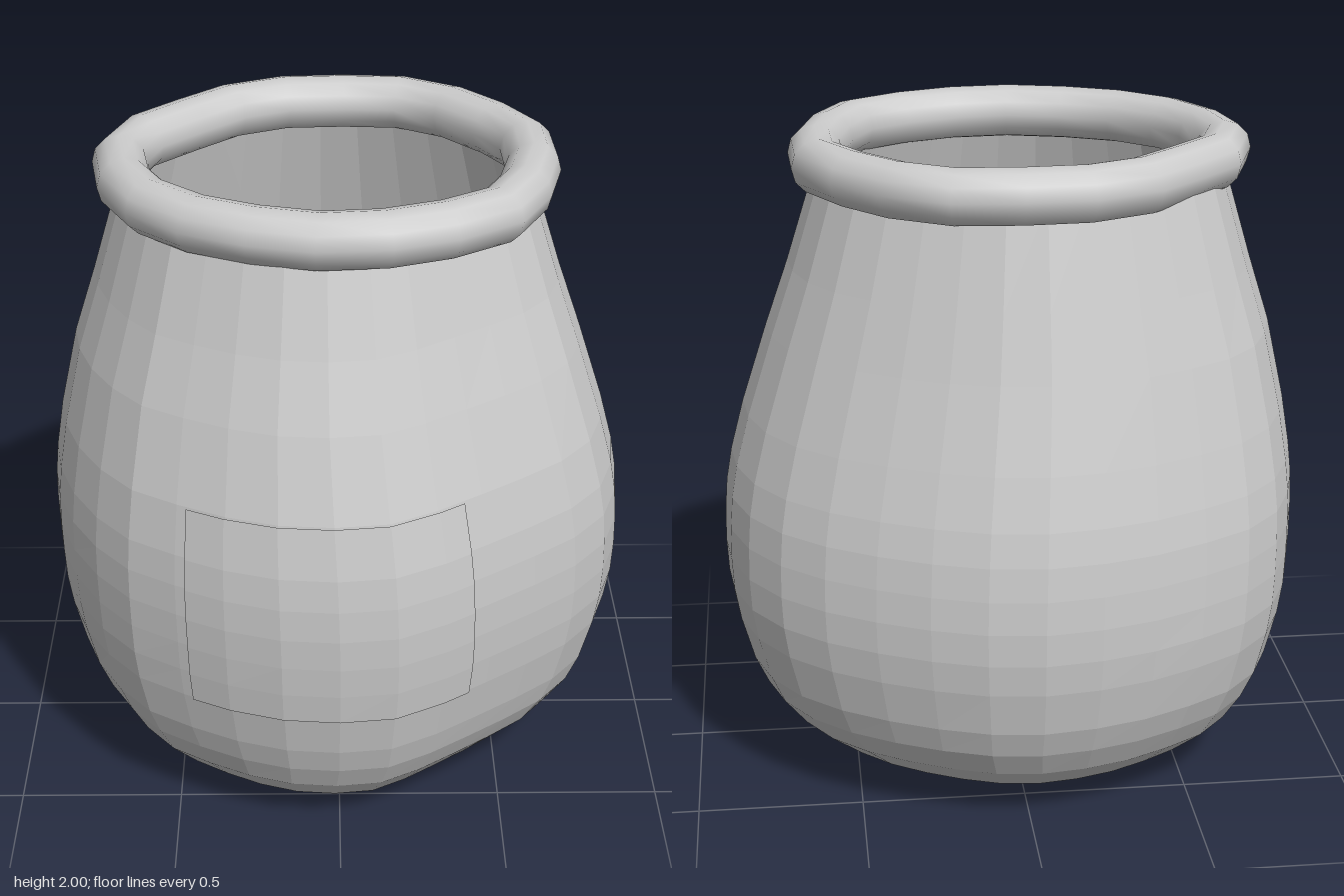
import * as THREE from 'three';

const V = (x, z) => new THREE.Vector3(x, 0, z);

// Uneven, hand-thrown outline of the widest ring, starting at the front and turning towards +x
const outline = new THREE.CatmullRomCurve3([
  V(0, .83), V(.2, .8), V(.37, .69), V(.53, .575), V(.67, .465), V(.78, .36), V(.85, .215), V(.89, -.01),
  V(.87, -.21), V(.79, -.41), V(.65, -.57), V(.41, -.72), V(.15, -.82), V(-.02, -.84), V(-.3, -.79),
  V(-.54, -.68), V(-.71, -.56), V(-.82, -.36), V(-.89, -.05), V(-.855, .19), V(-.76, .41), V(-.615, .6),
  V(-.45, .7), V(-.23, .8),
], true);
const SIDES = 32;
const ringPoints = outline.getSpacedPoints(SIDES).slice(0, SIDES);

// Height, then the limits in x and z of each ring of the body
const rows = [
  [0, -.43, .40, -.42, .36], [.09, -.64, .61, -.60, .62], [.18, -.74, .72, -.70, .70],
  [.27, -.795, .79, -.755, .745], [.36, -.835, .83, -.79, .775], [.5, -.87, .868, -.82, .806],
  [.6, -.885, .885, -.832, .82], [.7, -.89, .89, -.835, .83], [.8, -.892, .888, -.83, .835],
  [.9, -.89, .88, -.82, .833], [1, -.88, .862, -.802, .825], [1.155, -.855, .82, -.765, .797],
  [1.4, -.80, .74, -.70, .72], [1.6, -.735, .67, -.65, .65], [1.9, -.645, .575, -.575, .555],
];

// Point on the body: u counts sides (fractions allowed), grow pushes it outwards
function surfacePoint(u, [y, x0, x1, z0, z1], grow = 0) {
  const i = Math.floor(u), n = k => ringPoints[((k % SIDES) + SIDES) % SIDES];
  const p = n(i).clone().lerp(n(i + 1), u - i);
  const out = p.clone().normalize().multiplyScalar(grow);
  return [(x0 + x1) / 2 + p.x / .89 * (x1 - x0) / 2 + out.x, y,
    (z0 + z1) / 2 + p.z / .837 * (z1 - z0) / 2 + out.z];
}

// Flat-faceted skin over a list of side positions and rows
function skin(us, levels, grow) {
  const pos = [], index = [], w = us.length;
  for (const level of levels) for (const u of us) pos.push(...surfacePoint(u, level, grow));
  for (let r = 0; r < levels.length - 1; r++) {
    for (let c = 0; c < w - 1; c++) {
      const a = r * w + c;
      index.push(a, a + 1, a + w + 1, a, a + w + 1, a + w);
    }
  }
  const g = new THREE.BufferGeometry();
  g.setAttribute('position', new THREE.Float32BufferAttribute(pos, 3));
  g.setIndex(index);
  const flat = g.toNonIndexed();
  flat.computeVertexNormals();
  return flat;
}

export function createModel() {
  const jar = new THREE.Group();
  jar.name = 'jar';
  const clay = new THREE.MeshStandardMaterial({ name: 'grey clay', color: 0xcccccc, side: THREE.DoubleSide });
  const add = (name, geometry) => {
    const mesh = new THREE.Mesh(geometry, clay);
    mesh.name = name;
    jar.add(mesh);
    return mesh;
  };

  // Open, pear-shaped body
  add('body', skin(Array.from({ length: SIDES + 1 }, (_, i) => i), rows, 0));

  // Base disc closing the bottom
  const base = add('base', new THREE.CylinderGeometry(.46, .415, .015, 32));
  base.scale.z = .93;
  base.position.set(-.015, .0075, -.03);

  // Label wrapped round the front, from its right edge to its left edge
  const at = x => {
    let u = 0;
    const step = Math.sign(x) * .02;
    while (Math.abs(surfacePoint(u, rows[7], .012)[0]) < Math.abs(x)) u += step;
    return u;
  };
  const from = at(-.445), to = at(.395), us = [from];
  for (let i = Math.ceil(from); i < to; i++) us.push(i);
  us.push(to);
  add('label', skin(us, rows.slice(5, 12), .012));

  // Thick rolled rim with a slightly irregular path
  const rimPath = [
    [.02, -.577], [.155, -.575], [.3, -.52], [.45, -.365], [.56, -.2], [.577, -.02], [.53, .2], [.435, .375],
    [.23, .485], [0, .54], [-.25, .485], [-.39, .42], [-.56, .255], [-.645, 0], [-.62, -.18], [-.48, -.345],
    [-.32, -.5], [-.17, -.565],
  ].map(([x, z]) => V(x, z));
  const rim = add('rim', new THREE.TubeGeometry(new THREE.CatmullRomCurve3(rimPath, true), 20, .083, 12, true));
  rim.position.y = 1.917;

  return jar;
}
